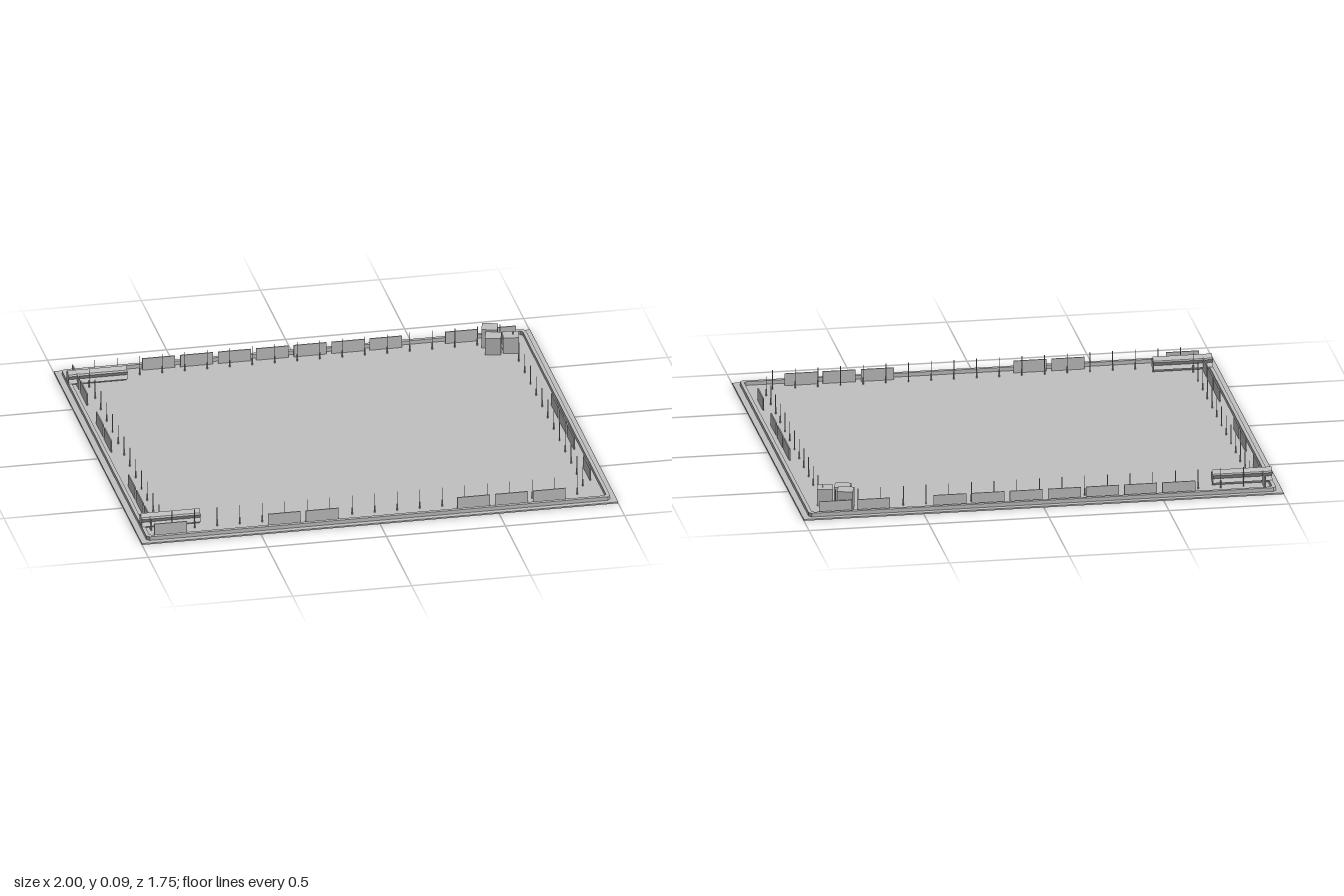
import * as THREE from 'three';

export function createModel() {
  const group = new THREE.Group();
  const grey = new THREE.MeshStandardMaterial({ color: 0xc0c0c0 });
  grey.name = 'plainGrey';
  const FLOOR = 0.006;

  function add(name, geometry, x, y, z, parent = group) {
    const mesh = new THREE.Mesh(geometry, grey);
    mesh.name = name;
    mesh.position.set(x, y, z);
    parent.add(mesh);
    return mesh;
  }

  // Ground slab
  add('groundSlab', new THREE.BoxGeometry(2, FLOOR, 1.75), 0, FLOOR / 2, 0);

  // Raised kerb with clipped corners running round the slab
  function clippedRect(target, w, d, c) {
    target.moveTo(-w + c, -d);
    target.lineTo(w - c, -d);
    target.lineTo(w, -d + c);
    target.lineTo(w, d - c);
    target.lineTo(w - c, d);
    target.lineTo(-w + c, d);
    target.lineTo(-w, d - c);
    target.lineTo(-w, -d + c);
    target.closePath();
    return target;
  }
  const kerbShape = clippedRect(new THREE.Shape(), 0.974, 0.85, 0.012);
  kerbShape.holes.push(clippedRect(new THREE.Path(), 0.959, 0.834, 0.01));
  const kerb = new THREE.ExtrudeGeometry(kerbShape, { depth: 0.016, bevelEnabled: false });
  kerb.rotateX(-Math.PI / 2);
  add('kerb', kerb, 0, FLOOR, 0);

  // Barrier panels in broken rows along the four sides
  const panels = new THREE.Group();
  panels.name = 'barrierPanels';
  group.add(panels);
  const height = 0.052;
  const alongX = new THREE.BoxGeometry(0.137, height, 0.005);
  const alongZ = new THREE.BoxGeometry(0.005, height, 0.137);
  const py = FLOOR + height / 2;
  const pitch = 0.159;
  for (const k of [0, 1, 2, 3, 4, 5, 6, 8, 9]) add('backPanel', alongX, -0.573 + k * pitch, py, -0.812, panels);
  for (const k of [0, 3, 4, 8, 9, 10]) add('frontPanel', alongX, -0.865 + k * pitch, py, 0.806, panels);
  for (const k of [0, 1, 2, 4]) add('leftPanel', alongZ, 0.932, py, -0.06 + k * pitch, panels);
  for (const k of [0, 1, 3, 4, 7, 8, 9]) add('rightPanel', alongZ, -0.935, py, -0.742 + k * pitch, panels);

  // Thin marker posts with thicker feet
  const posts = new THREE.Group();
  posts.name = 'markerPosts';
  group.add(posts);
  const rod = new THREE.CylinderGeometry(0.0018, 0.0018, 0.084, 6);
  const foot = new THREE.CylinderGeometry(0.003, 0.003, 0.03, 6);
  function post(x, z) {
    add('postRod', rod, x, FLOOR + 0.042, z, posts);
    add('postFoot', foot, x, FLOOR + 0.015, z, posts);
  }
  for (const side of [-1, 1]) {
    for (let k = -9; k <= 9; k++) post(k * 0.0945, side * 0.767);
    for (let k = -6; k <= 6; k++) post(side * 0.89, k * 0.115);
  }

  // Star-section beams: two crossed triangular prisms each
  const R = 0.033;
  function triangle(sign) {
    const shape = new THREE.Shape();
    for (let i = 0; i < 3; i++) {
      const a = sign * Math.PI / 2 + i * Math.PI * 2 / 3;
      const x = R * Math.cos(a), y = R * Math.sin(a);
      if (i === 0) shape.moveTo(x, y);
      else shape.lineTo(x, y);
    }
    shape.closePath();
    const geometry = new THREE.ExtrudeGeometry(shape, { depth: 0.247, bevelEnabled: false });
    return geometry.rotateY(Math.PI / 2);
  }
  for (const z of [-0.728, 0.721]) {
    for (const sign of [1, -1]) add('starBeam', triangle(sign), -0.973, FLOOR + R, z);
  }

  // Crates in the back left corner: x, z, height, turn
  const crates = [
    [0.807, -0.762, 0.082, -0.26],
    [0.807, -0.69, 0.075, -0.26],
    [0.88, -0.69, 0.071, -0.17],
  ];
  for (const [x, z, h, turn] of crates) {
    add('crate', new THREE.BoxGeometry(0.066, h, 0.066), x, FLOOR + h / 2, z).rotation.y = turn;
  }

  return group;
}
